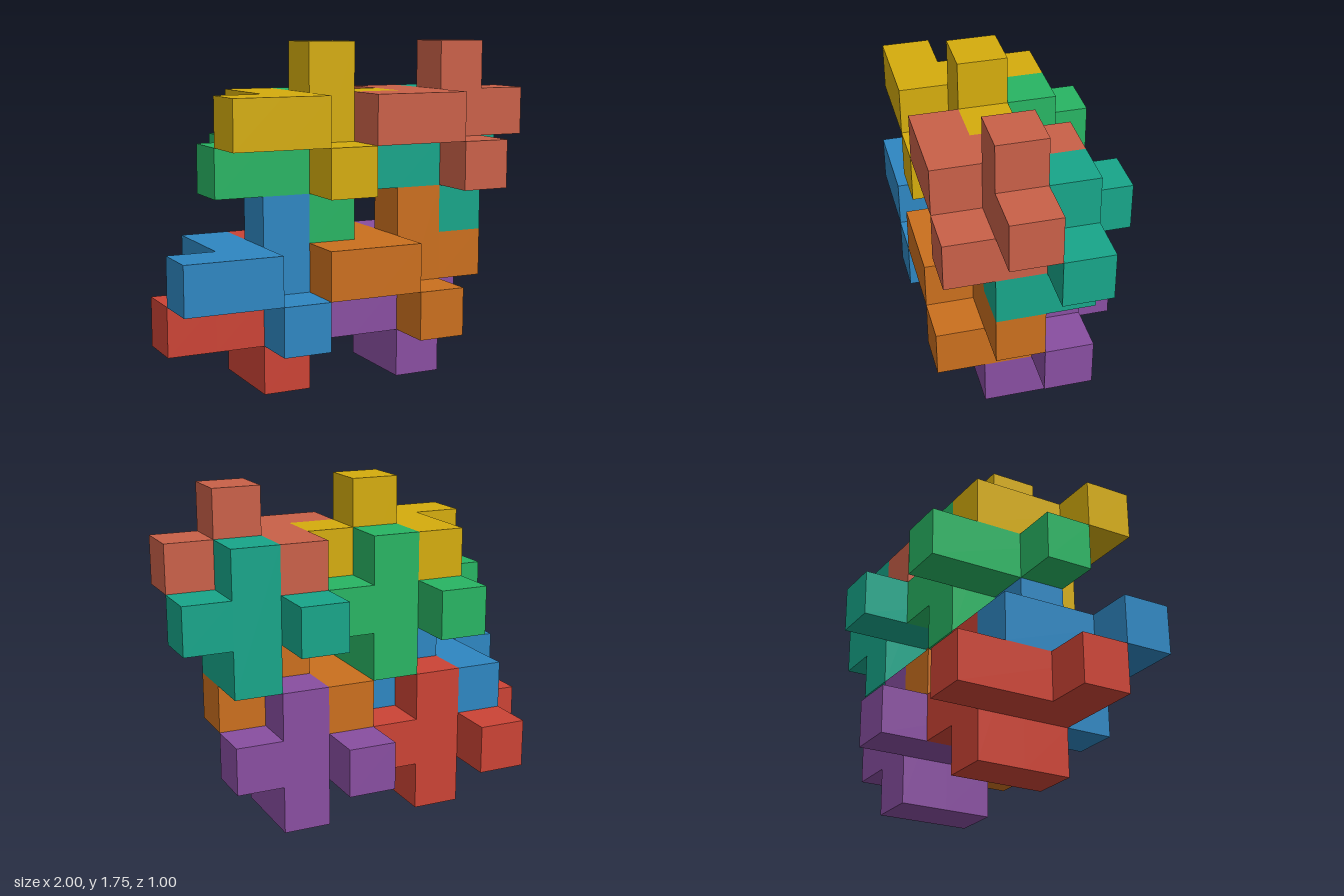
import * as THREE from 'three';
import { mergeGeometries } from 'three/addons/utils/BufferGeometryUtils.js';

const U = 0.25; // edge of one cube cell

// Box filling the cells from a to b inclusive, around the piece's hub cell
function bar(a, b = a) {
  const size = a.map((v, i) => (b[i] - v + 1) * U);
  const mid = a.map((v, i) => ((v + b[i]) / 2) * U);
  return new THREE.BoxGeometry(...size).translate(...mid);
}

// One nine-cell interlocking piece
function pieceGeometry() {
  return mergeGeometries([
    bar([0, -1, 0], [0, 1, 0]),   // upright column through the hub
    bar([1, 0, 0]),               // left arm
    bar([-1, 0, -1], [-1, 0, 1]), // cross bar running front to back
    bar([-2, 0, 1]),              // hooked tip of the cross bar
    bar([0, -1, 1]),              // foot pointing forward
  ]);
}

export function createModel() {
  const group = new THREE.Group();
  group.name = 'interlockingPieces';
  const geometry = pieceGeometry();

  // Name, colour and hub cell (x, y, z) of each copy
  const pieces = [
    ['redPiece', 0xcb4335, [2, 1, 1]],
    ['bluePiece', 0x2e86c1, [2, 2, 2]],
    ['purplePiece', 0x884ea0, [5, 1, 1]],
    ['orangePiece', 0xca6f1e, [5, 2, 2]],
    ['greenPiece', 0x28b463, [3, 4, 1]],
    ['yellowPiece', 0xd4ac0d, [3, 5, 2]],
    ['tealPiece', 0x17a589, [6, 4, 1]],
    ['coralPiece', 0xc96048, [6, 5, 2]],
  ];
  for (const [name, color, [x, y, z]] of pieces) {
    const mesh = new THREE.Mesh(geometry, new THREE.MeshStandardMaterial({ color }));
    mesh.name = name;
    mesh.position.set((x - 3.5) * U, (y + 0.5) * U, (z - 1.5) * U);
    group.add(mesh);
  }
  return group;
}
